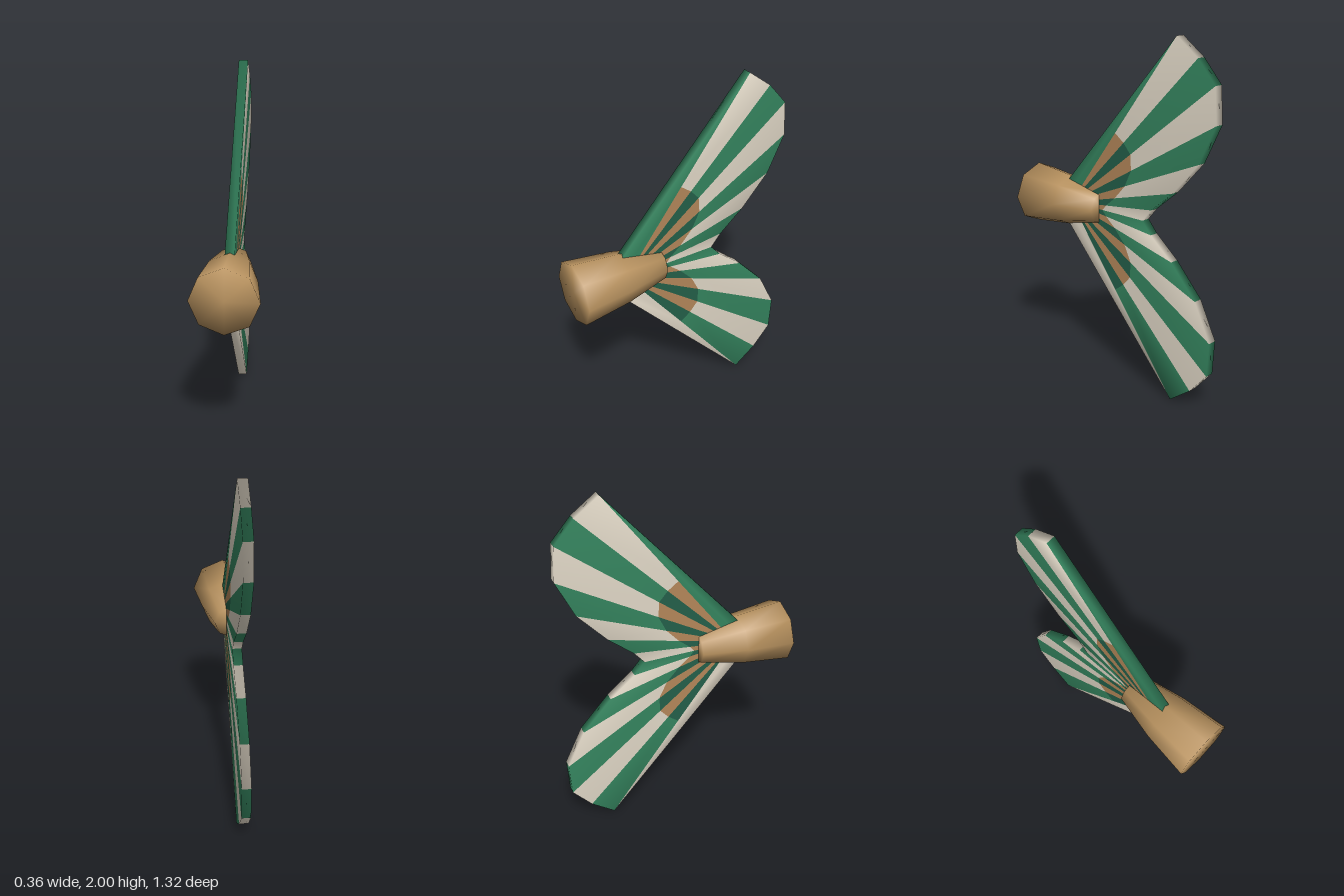
import * as THREE from 'three';

const material = (name, color) => {
  const m = new THREE.MeshStandardMaterial({ color });
  m.name = name;
  return m;
};

export function createModel() {
  const model = new THREE.Group();
  const tan = material('tan', 0xb8925f);
  const fanColours = [
    material('green', 0x35855f), material('cream', 0xe2d9c8),
    material('dark green', 0x24604a), material('light brown', 0xb5885a),
  ];

  // eight-sided tapering stump, smooth shaded, axis along z
  const profile = [[0, 0.137], [0.092, 0.137], [0.148, 0.39], [0.18, 0.662], [0, 0.662]];
  const stumpGeo = new THREE.LatheGeometry(profile.map(([r, z]) => new THREE.Vector2(r, z)), 8);
  stumpGeo.rotateX(Math.PI / 2);
  const stump = new THREE.Mesh(stumpGeo, tan);
  stump.name = 'tailStump';
  stump.position.y = 1.002;
  model.add(stump);

  // upper lobe rim as (z, height above the middle); the lower lobe mirrors it
  const half = [[-0.405, 1], [-0.54, 0.9], [-0.65, 0.775], [-0.662, 0.58],
    [-0.56, 0.37], [-0.395, 0.19], [-0.25, 0.07]];
  const rim = [[0.5, 0], ...half, [-0.19, 0],
    ...half.slice().reverse().map(([z, y]) => [z, -y])];
  const hub = 0.36, inner = 0.455, t = 0.026, n = rim.length;

  // vertices: two hubs, then for each ray the outer and inner points on both sides
  const pos = [t, 1, hub, -t, 1, hub];
  for (const [z, y] of rim) {
    for (const k of [1, inner]) {
      for (const x of [t, -t]) pos.push(x, 1 + y * k, hub + (z - hub) * k);
    }
  }
  const vert = (i, ring, side) => 2 + (i % n) * 4 + ring * 2 + side;

  // striped sectors, with a darker patch near the hub on all but the two edge sectors
  const faces = [[], [], [], []];
  for (let i = 0; i < n; i++) {
    const j = i + 1, stripe = i % 2;
    const edge = i === 0 || i === n - 1;
    for (const s of [0, 1]) {
      const add = (list, a, b, c) => list.push(...(s ? [a, c, b] : [a, b, c]));
      const [oi, oj, ni, nj] = [vert(i, 0, s), vert(j, 0, s), vert(i, 1, s), vert(j, 1, s)];
      add(faces[edge ? stripe : stripe + 2], s, nj, ni);
      add(faces[stripe], ni, nj, oj);
      add(faces[stripe], ni, oj, oi);
    }
    const [a, b, c, d] = [vert(i, 0, 0), vert(j, 0, 0), vert(j, 0, 1), vert(i, 0, 1)];
    faces[stripe].push(a, b, c, a, c, d);
  }

  const fanGeo = new THREE.BufferGeometry();
  fanGeo.setAttribute('position', new THREE.Float32BufferAttribute(pos, 3));
  fanGeo.setIndex(faces.flat());
  let start = 0;
  faces.forEach((f, m) => {
    fanGeo.addGroup(start, f.length, m);
    start += f.length;
  });
  fanGeo.computeVertexNormals();
  const fan = new THREE.Mesh(fanGeo, fanColours);
  fan.name = 'tailFin';
  model.add(fan);

  return model;
}
